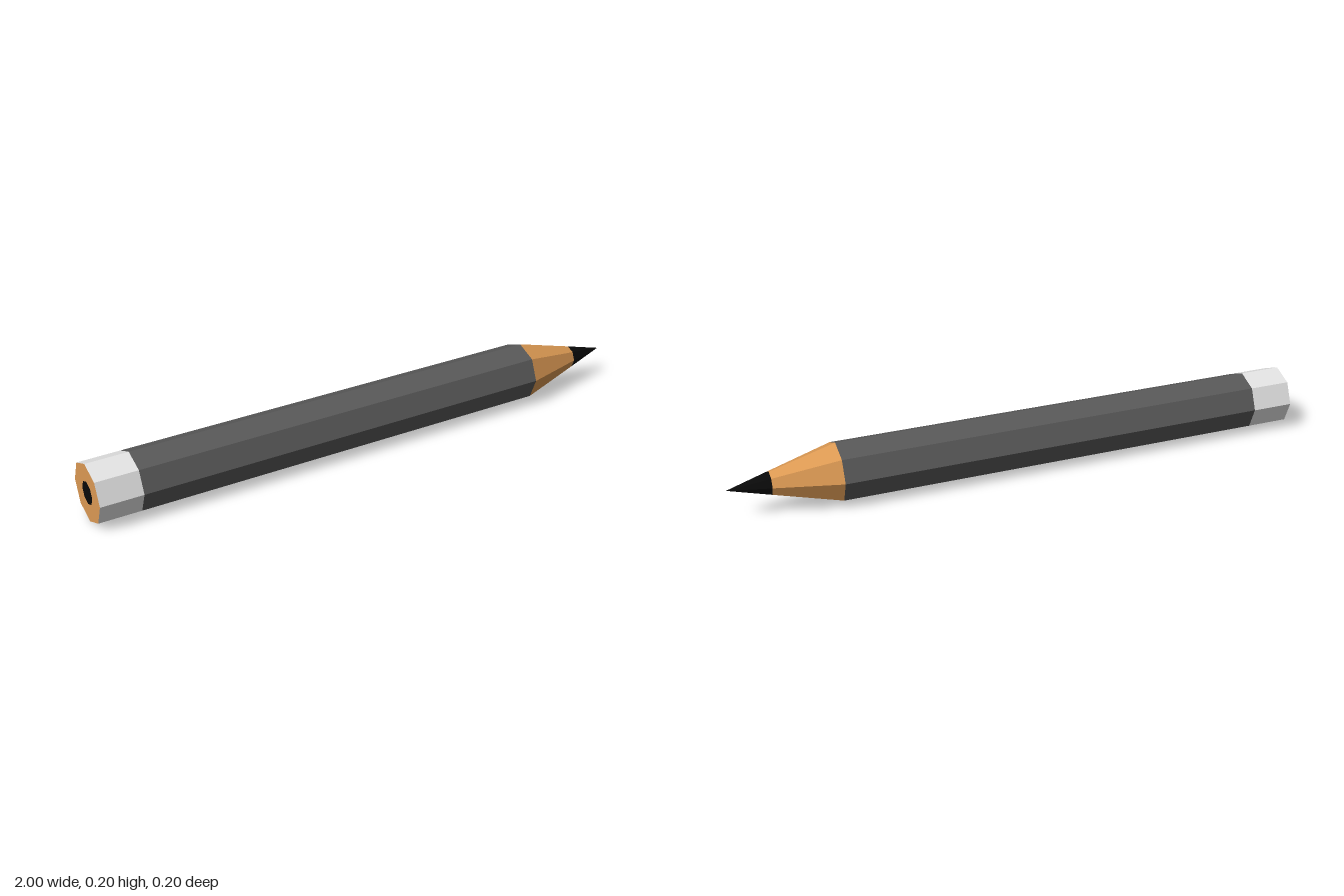
import * as THREE from 'three';

const R = 0.102;    // barrel radius, also the height of its axis
const CORE = 0.04;  // graphite radius
const SIDES = 8;

const material = (name, color) => {
  const m = new THREE.MeshStandardMaterial({ color, flatShading: true });
  m.name = name;
  return m;
};

export function createModel() {
  const pencil = new THREE.Group();
  pencil.name = 'pencil';

  const paint = material('dark grey paint', 0x5a5a5a);
  const white = material('white band', 0xe6e6e6);
  const wood = material('bare wood', 0xdd9a54);
  const graphite = material('black graphite', 0x0a0a0a);

  const add = (name, geometry, mat) => {
    const mesh = new THREE.Mesh(geometry, mat);
    mesh.name = name;
    mesh.position.y = R;
    pencil.add(mesh);
  };

  // Open eight-sided section along x, from x0 to x1
  const section = (name, x0, x1, r0, r1, mat) => {
    const g = new THREE.CylinderGeometry(r1, r0, x1 - x0, SIDES, 1, true);
    g.rotateZ(-Math.PI / 2).translate((x0 + x1) / 2, 0, 0);
    add(name, g, mat);
  };

  section('endBand', -1, -0.855, R, R, white);
  section('barrel', -0.855, 0.64, R, R, paint);
  section('sharpenedWood', 0.64, 0.86, R, CORE, wood);
  section('leadTip', 0.86, 1, CORE, 0, graphite);

  // Flat back end: wood ring around the graphite core
  const toBack = (g) => g.rotateY(-Math.PI / 2).translate(-1, 0, 0);
  add('endWood', toBack(new THREE.RingGeometry(CORE, R, SIDES)), wood);
  add('endCore', toBack(new THREE.CircleGeometry(CORE, SIDES)), graphite);

  return pencil;
}
